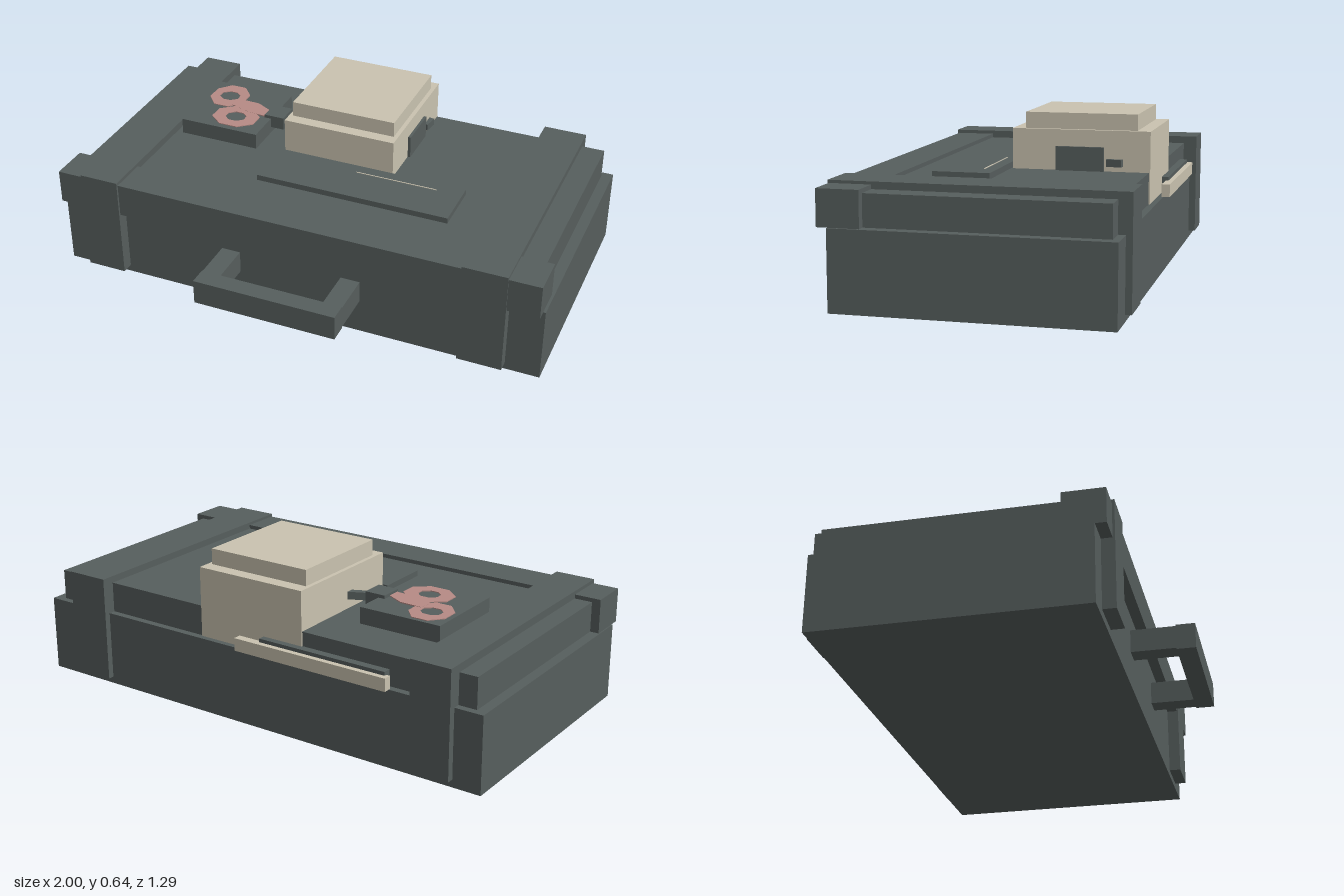
import * as THREE from 'three';

export function createModel() {
  const model = new THREE.Group();
  model.name = 'equipmentCase';
  const mat = (name, color) => {
    const m = new THREE.MeshStandardMaterial({ color });
    m.name = name;
    return m;
  };
  const slate = mat('slate', 0x565e5d);
  const cream = mat('cream', 0xcac3b0);
  const pink = mat('pink', 0xb78b85);

  const add = (name, geometry, material) => {
    const mesh = new THREE.Mesh(geometry, material);
    mesh.name = name;
    model.add(mesh);
    return mesh;
  };
  // Box given by its limits on each axis
  const box = (name, material, x0, x1, y0, y1, z0, z1) => {
    const mesh = add(name, new THREE.BoxGeometry(x1 - x0, y1 - y0, z1 - z0), material);
    mesh.position.set((x0 + x1) / 2, (y0 + y1) / 2, (z0 + z1) / 2);
    return mesh;
  };

  // Case body, lid and front rail
  box('body', slate, -1, 1, 0, 0.3, -0.617, 0.4);
  box('lid', slate, -0.96, 0.957, 0.3, 0.42, -0.59, 0.3);
  box('frontRail', slate, -0.995, 0.99, 0.3, 0.436, 0.283, 0.441);

  // Straps wrapped over the case
  box('rightStrap', slate, -0.888, -0.727, 0.03, 0.45, -0.645, 0.45);
  box('leftStrap', slate, 0.69, 0.865, 0.027, 0.447, -0.641, 0.446);

  // Carrying handle
  box('handleArm', slate, -0.3, -0.223, 0.14, 0.23, 0.4, 0.575);
  box('handleArm', slate, 0.202, 0.28, 0.14, 0.23, 0.4, 0.575);
  box('handleGrip', slate, -0.3, 0.28, 0.135, 0.235, 0.572, 0.645);

  // Pale block with raised cap
  box('block', cream, -0.236, 0.232, 0.3, 0.576, -0.595, -0.062);
  box('blockCap', cream, -0.22, 0.215, 0.57, 0.638, -0.543, -0.11);

  // Latch on the block's side
  box('sideLatch', slate, 0.225, 0.243, 0.42, 0.512, -0.418, -0.232);
  const tip = box('latchTip', slate, 0.225, 0.25, 0.44, 0.468, -0.49, -0.43);
  tip.rotation.y = -0.15;

  // Flat front panel with a fine slot line
  box('frontPanel', slate, -0.255, 0.54, 0.42, 0.443, -0.055, 0.165);
  box('slotLine', cream, 0.1, 0.435, 0.44, 0.445, -0.008, -0.004);

  // Bars along the back ledge
  box('backBar', cream, -0.625, 0.038, 0.3, 0.35, -0.642, -0.61);
  box('backBarInsert', slate, -0.61, -0.063, 0.3, 0.364, -0.621, -0.59);

  // Pad carrying the tool
  box('toolPad', slate, -0.7, -0.362, 0.42, 0.485, -0.405, -0.05);

  // Flat pink finger loops, shapes drawn in x and -z
  const plate = (name, shape, depth) => {
    const g = new THREE.ExtrudeGeometry(shape, { depth, bevelEnabled: false });
    g.rotateX(-Math.PI / 2);
    add(name, g, pink).position.y = 0.483;
  };
  const octagon = (cx, cz, rx, rz, turn) => Array.from({ length: 8 }, (_, i) => {
    const a = (i / 8) * Math.PI * 2 + turn;
    return new THREE.Vector2(cx + rx * Math.cos(a), -cz + rz * Math.sin(a));
  });
  const loop = (cx, cz, rx, rz, depth) => {
    const s = new THREE.Shape(octagon(cx, cz, rx, rz, Math.PI / 8));
    s.holes.push(new THREE.Path(octagon(cx, cz, 0.045, 0.038, Math.PI / 8).reverse()));
    plate('fingerLoop', s, depth);
  };
  loop(-0.603, -0.302, 0.083, 0.095, 0.005);
  loop(-0.502, -0.152, 0.102, 0.084, 0.0055);
  const arm = [[-0.56, 0.235], [-0.47, 0.205], [-0.39, 0.2], [-0.39, 0.25], [-0.46, 0.287], [-0.55, 0.29]];
  plate('toolArm', new THREE.Shape(arm.map(([x, y]) => new THREE.Vector2(x, y))), 0.006);

  // Tool pivot and short blades running into the block
  box('toolPivot', slate, -0.39, -0.305, 0.445, 0.498, -0.285, -0.195);
  for (const [z, turn, y] of [[-0.275, 0.42, 0.472], [-0.24, 0.3, 0.46]]) {
    const blade = add('toolBlade', new THREE.BoxGeometry(0.14, 0.03, 0.026), slate);
    blade.position.set(-0.265, y, z);
    blade.rotation.y = turn;
  }
  return model;
}
